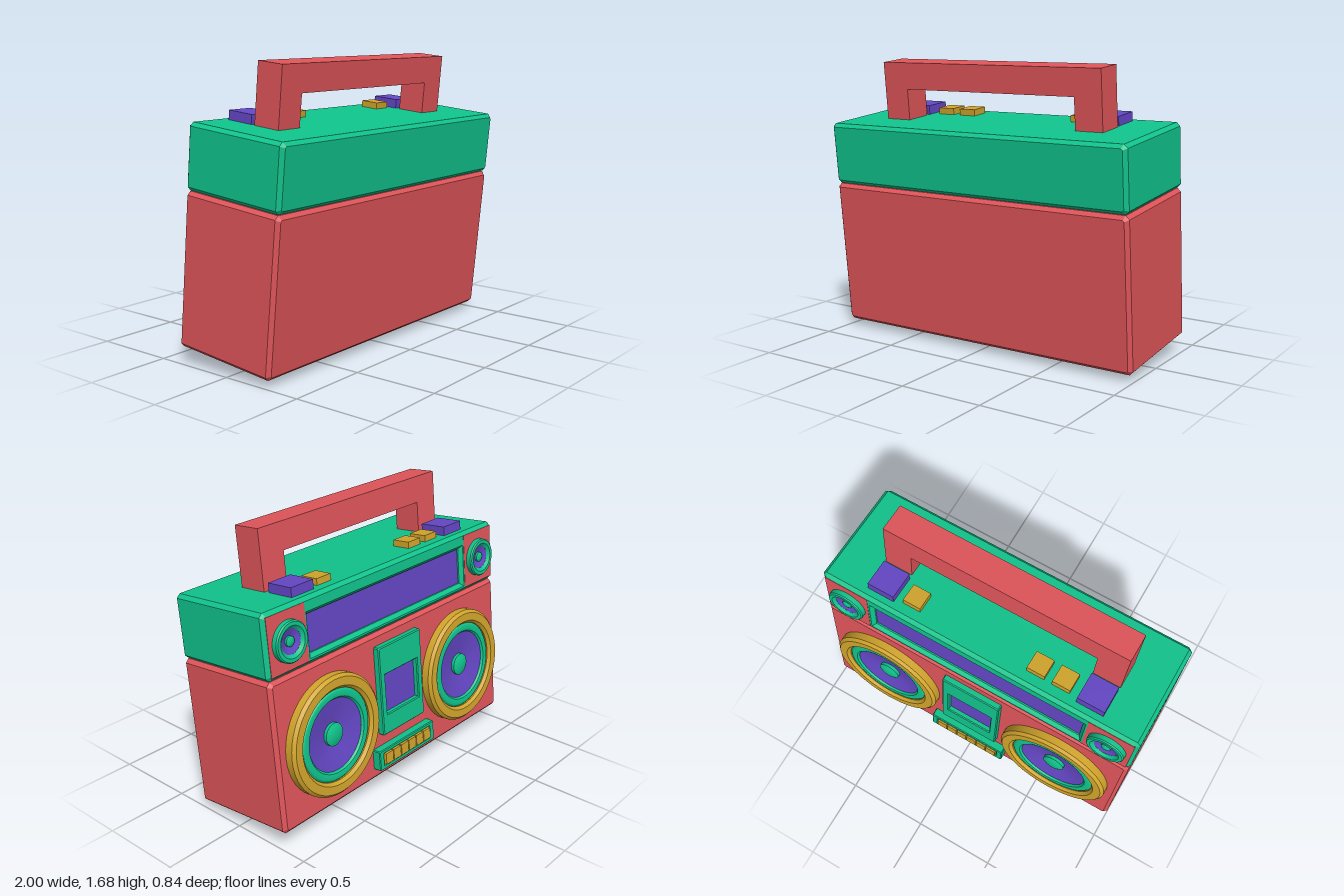
import * as THREE from 'three';
import { toCreasedNormals } from 'three/addons/utils/BufferGeometryUtils.js';

const paint = (color) => new THREE.MeshStandardMaterial({ color, side: THREE.DoubleSide });
const RED = paint(0xe0555a), GREEN = paint(0x10c48c), GOLD = paint(0xd2a52c), PURPLE = paint(0x6547c6);

function add(parent, name, geometry, material, x = 0, y = 0, z = 0) {
  const mesh = new THREE.Mesh(geometry, material);
  mesh.name = name;
  mesh.position.set(x, y, z);
  parent.add(mesh);
  return mesh;
}

// Box given by its limits
function block(parent, name, material, [x0, x1], [y0, y1], [z0, z1]) {
  const g = new THREE.BoxGeometry(x1 - x0, y1 - y0, z1 - z0);
  return add(parent, name, g, material, (x0 + x1) / 2, (y0 + y1) / 2, (z0 + z1) / 2);
}

// Chamfered slab along z, with an optional rectangular opening
function slab(parent, name, material, [x0, x1], [y0, y1], [z0, z1], c, hole) {
  const shape = new THREE.Shape([
    [x0 + c, y0], [x1 - c, y0], [x1, y0 + c], [x1, y1 - c],
    [x1 - c, y1], [x0 + c, y1], [x0, y1 - c], [x0, y0 + c],
  ].map(([x, y]) => new THREE.Vector2(x, y)));
  if (hole) {
    const [hx, h0, h1] = hole;
    shape.holes.push(new THREE.Path([[-hx, h0], [-hx, h1], [hx, h1], [hx, h0]]
      .map(([x, y]) => new THREE.Vector2(x, y))));
  }
  const g = new THREE.ExtrudeGeometry(shape, {
    depth: z1 - z0 - 2 * c, bevelEnabled: true, bevelThickness: c,
    bevelSize: c, bevelOffset: -c, bevelSegments: 1,
  });
  return add(parent, name, g, material, 0, 0, z0 + c);
}

// Round part turned about z from [radius, height] points
function turned(parent, name, material, points) {
  const g = new THREE.LatheGeometry(points.map(([r, h]) => new THREE.Vector2(r, h)), 48);
  g.rotateX(Math.PI / 2);
  return add(parent, name, toCreasedNormals(g, 0.5), material);
}

function woofer() {
  const g = new THREE.Group();
  g.name = 'woofer';
  turned(g, 'wooferRim', GOLD, [[0.353, 0], [0.353, 0.045], [0.336, 0.062], [0.287, 0.062], [0.27, 0.045], [0.27, 0]]);
  turned(g, 'wooferSurround', GREEN, [[0.272, 0.034], [0.258, 0.046], [0.238, 0.05], [0.222, 0.046], [0.212, 0.034], [0.212, 0.002]]);
  turned(g, 'wooferCone', PURPLE, [[0.214, 0.034], [0.06, 0.006]]);
  turned(g, 'wooferCap', GREEN, [[0.067, 0.002], [0.067, 0.026], [0.045, 0.036], [0, 0.04]]);
  return g;
}

function tweeter() {
  const g = new THREE.Group();
  g.name = 'tweeter';
  turned(g, 'tweeterRim', GREEN, [[0.115, 0], [0.115, 0.03], [0.108, 0.037], [0.088, 0.037], [0.07, 0.022], [0.07, 0]]);
  turned(g, 'tweeterCone', PURPLE, [[0.072, 0.022], [0.025, 0.004]]);
  turned(g, 'tweeterCap', GREEN, [[0.029, 0.002], [0.029, 0.018], [0.018, 0.024], [0, 0.026]]);
  return g;
}

export function createModel() {
  const model = new THREE.Group();
  model.name = 'cassettePlayer';

  // The whole player leans
  const body = new THREE.Group();
  body.name = 'leaningBody';
  body.rotation.x = 0.095;
  model.add(body);

  const FACE = -0.377, BACK = 0.3, C = 0.021;

  // Cabinets
  slab(body, 'lowerCabinet', RED, [-1, 1], [0.067, 0.954], [FACE, BACK], C);
  slab(body, 'upperCabinet', GREEN, [-1, 1], [0.957, 1.329], [FACE, BACK], C, [0.67, 1.01, 1.23]);
  block(body, 'upperCabinetCore', GREEN, [-0.67 - C, 0.67 + C], [1.01 - C, 1.23 + C], [FACE + 0.06, BACK]);
  block(body, 'tunerScreen', PURPLE, [-0.675, 0.675], [1.005, 1.235], [FACE + 0.03, FACE + 0.07]);

  // Tapered foot
  const foot = new THREE.BoxGeometry(1.72, 0.06, 0.49);
  const p = foot.attributes.position;
  for (let i = 0; i < p.count; i++) {
    if (p.getY(i) < 0) p.setXYZ(i, p.getX(i) * 0.935, p.getY(i), p.getZ(i) * 0.862);
  }
  foot.computeVertexNormals();
  add(body, 'foot', foot, RED, 0, 0.047, -0.038);

  // Carrying handle
  const arch = new THREE.Shape([
    [-0.757, 1.32], [-0.588, 1.32], [-0.588, 1.515], [0.564, 1.515],
    [0.564, 1.32], [0.735, 1.32], [0.735, 1.675], [-0.757, 1.675],
  ].map(([x, y]) => new THREE.Vector2(x, y)));
  add(body, 'handle', new THREE.ExtrudeGeometry(arch, { depth: 0.172, bevelEnabled: false }), RED, 0, 0, -0.123);

  // Buttons on top
  for (const x of [-0.671, 0.644]) {
    block(body, 'largeTopButton', PURPLE, [x - 0.083, x + 0.083], [1.31, 1.383], [-0.319, -0.15]);
  }
  for (const x of [-0.482, -0.326, 0.457]) {
    block(body, 'smallTopButton', GOLD, [x - 0.055, x + 0.055], [1.31, 1.367], [-0.297, -0.184]);
  }

  // Control face, built facing +z and turned to the rear
  const face = new THREE.Group();
  face.name = 'controlFace';
  face.rotation.y = Math.PI;
  face.position.z = FACE;
  body.add(face);

  for (const s of [-1, 1]) {
    const w = woofer();
    w.position.set(s * 0.585, 0.508, 0);
    const t = tweeter();
    t.position.set(s * 0.838, 1.14, 0);
    face.add(w, t);
    block(face, 'tweeterPlate', RED, [s * 0.84 - 0.139, s * 0.84 + 0.139], [0.978, 1.308], [-0.01, 0.002]);
  }

  // Cassette door with recessed window
  slab(face, 'cassetteDoor', GREEN, [-0.19, 0.19], [0.335, 0.88], [-0.01, 0.038], 0.006, [0.145, 0.46, 0.705]);
  block(face, 'cassetteWindow', PURPLE, [-0.147, 0.147], [0.458, 0.707], [-0.005, 0.008]);

  // Key panel with six keys
  slab(face, 'keyPanel', GREEN, [-0.255, 0.255], [0.135, 0.26], [-0.01, 0.052], 0.005, [0.216, 0.162, 0.235]);
  block(face, 'keyBed', GREEN, [-0.218, 0.218], [0.16, 0.237], [-0.005, 0.03]);
  for (let i = 0; i < 6; i++) {
    const x = (i - 2.5) * 0.071;
    block(face, 'key', GOLD, [x - 0.032, x + 0.032], [0.165, 0.232], [0.02, 0.06]);
  }
  return model;
}
